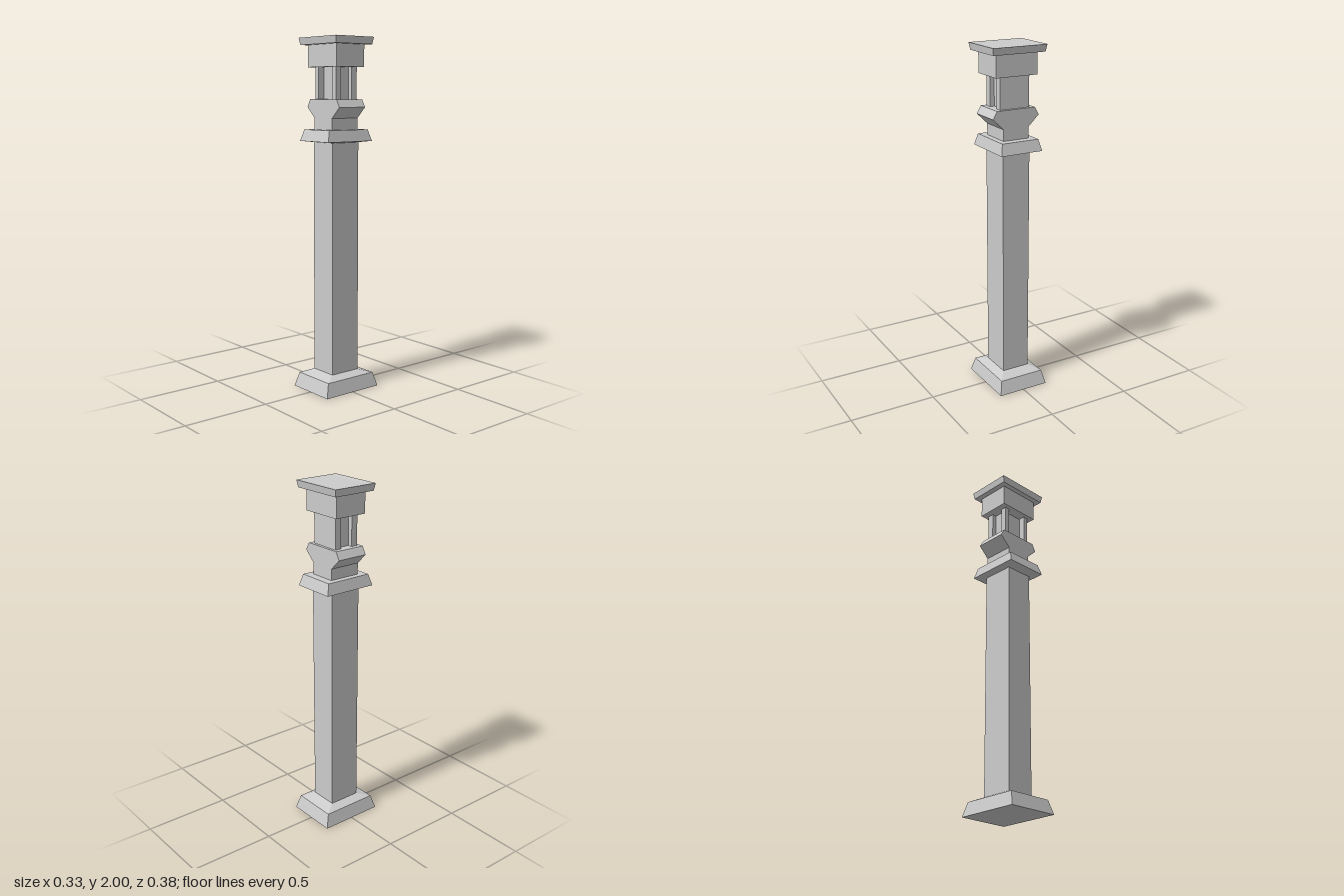
import * as THREE from 'three';

const material = new THREE.MeshStandardMaterial({ color: 0xcccccc, flatShading: true });

function named(name, geometry) {
  const mesh = new THREE.Mesh(geometry, material);
  mesh.name = name;
  return mesh;
}

// Stack of rectangular sections [y, halfX, halfZ], joined by flat sides and capped at both ends
function tier(name, sections) {
  const pos = [];
  const rings = sections.map(([y, x, z]) => [[-x, y, z], [x, y, z], [x, y, -z], [-x, y, -z]]);
  const quad = (a, b, c, d) => pos.push(...a, ...b, ...c, ...a, ...c, ...d);
  for (let i = 0; i < rings.length - 1; i++) {
    for (let k = 0; k < 4; k++) {
      const n = (k + 1) % 4;
      quad(rings[i][k], rings[i][n], rings[i + 1][n], rings[i + 1][k]);
    }
  }
  const [a, b, c, d] = rings[0];
  quad(d, c, b, a);
  quad(...rings[rings.length - 1]);
  const geometry = new THREE.BufferGeometry();
  geometry.setAttribute('position', new THREE.Float32BufferAttribute(pos, 3));
  geometry.computeVertexNormals();
  return named(name, geometry);
}

// Outline of [x, y] points for extrusion
const outline = (points) => new THREE.Shape(points.map(([x, y]) => new THREE.Vector2(x, y)));

export function createModel() {
  const group = new THREE.Group();

  // Plinth and shaft
  group.add(tier('base', [[0, 0.153, 0.188], [0.08, 0.134, 0.164], [0.102, 0.083, 0.094]]));
  group.add(tier('shaft', [[0.09, 0.083, 0.094], [1.43, 0.083, 0.094]]));

  // Sloped collar above the shaft
  group.add(tier('collar', [[1.421, 0.083, 0.094], [1.428, 0.127, 0.157], [1.492, 0.112, 0.138]]));

  // Bracket flaring to both sides, with flat front and back
  const half = [[0.078, 1.49], [0.078, 1.556], [0.142, 1.617], [0.117, 1.66]];
  const mirrored = half.map(([x, y]) => [-x, y]).reverse();
  const bracket = new THREE.ExtrudeGeometry(outline([...half, ...mirrored]), { depth: 0.184, bevelEnabled: false });
  bracket.translate(0, 0, -0.092);
  group.add(named('bracket', bracket));

  // Neck recessed between corner posts on the front and sides, flat at the back
  const plan = [
    [-0.09, -0.075], [0.09, -0.075], [0.09, -0.037], [0.063, -0.037],
    [0.063, 0.037], [0.09, 0.037], [0.09, 0.075], [0.063, 0.075],
    [0.063, 0.037], [-0.063, 0.037], [-0.063, 0.075], [-0.09, 0.075],
    [-0.09, 0.037], [-0.063, 0.037], [-0.063, -0.037], [-0.09, -0.037],
  ];
  const neck = new THREE.Group();
  neck.name = 'neck';
  const block = (name, x0, x1, z0, z1) => {
    const mesh = named(name, new THREE.BoxGeometry(x1 - x0, 0.18, z1 - z0));
    mesh.position.set((x0 + x1) / 2, 1.75, (z0 + z1) / 2);
    neck.add(mesh);
  };
  const [[left, back], , [right, inner], [core]] = plan;
  block('neckBack', left, right, back, inner);
  block('neckCore', -core, core, inner, -inner);
  block('leftPost', core, right, -inner, -back);
  block('rightPost', left, -core, -inner, -back);
  group.add(neck);

  // Capital block and top slab with a very shallow dished top
  group.add(tier('capital', [[1.837, 0.126, 0.098], [1.962, 0.126, 0.098]]));
  group.add(tier('topSlab', [[1.96, 0.158, 0.128], [2, 0.165, 0.135], [1.996, 0.125, 0.1]]));

  return group;
}
